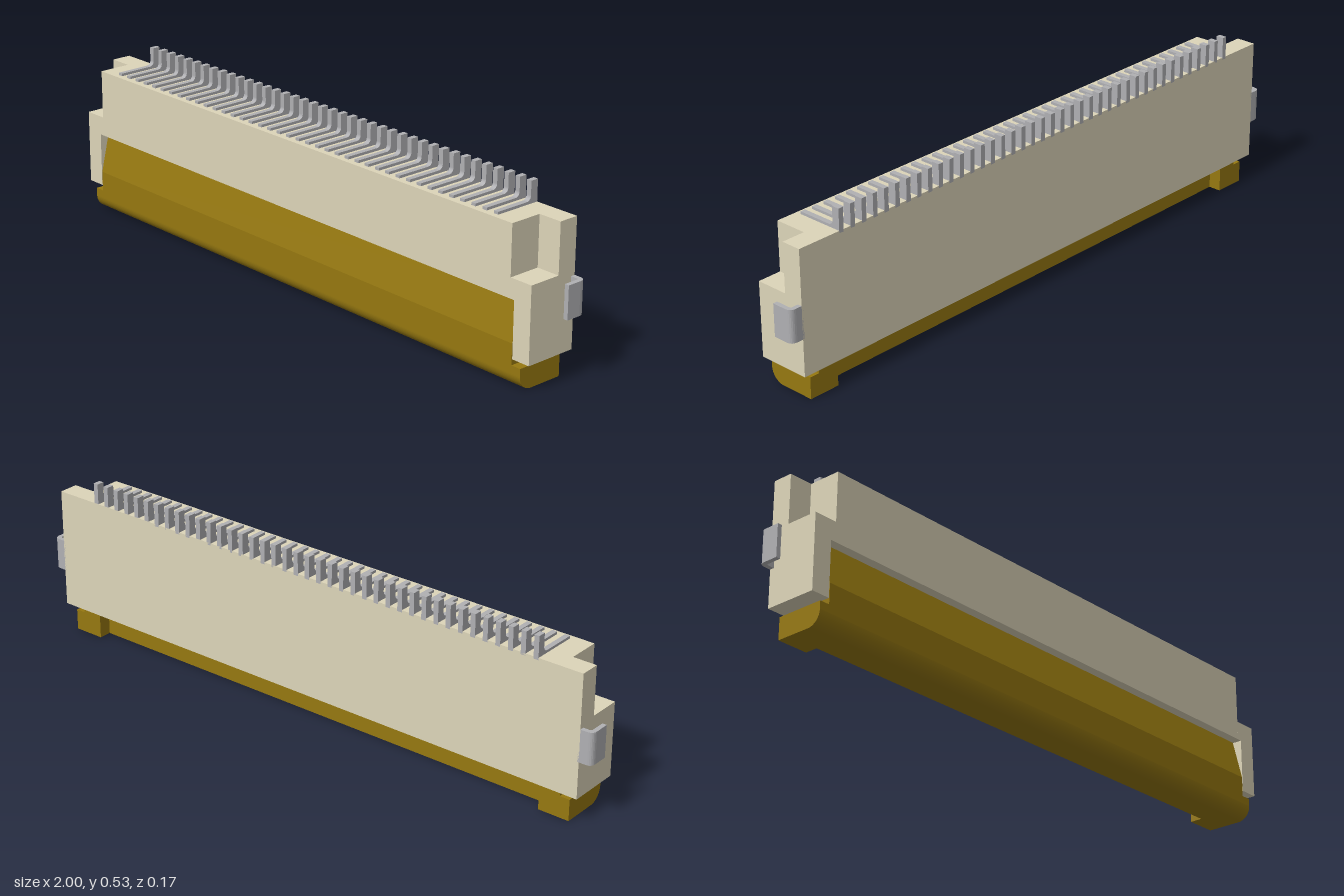
import * as THREE from 'three';

const mat = (color) => new THREE.MeshStandardMaterial({ color });

export function createModel() {
  const root = new THREE.Group();
  root.name = 'ribbonCableConnector';
  const beige = mat(0xddd5b9), gold = mat(0x967810), metal = mat(0xb0b0b3);

  const add = (parent, name, geometry, material) => {
    const m = new THREE.Mesh(geometry, material);
    m.name = name;
    parent.add(m);
    return m;
  };
  const group = (name) => {
    const g = new THREE.Group();
    g.name = name;
    root.add(g);
    return g;
  };
  const box = (x0, x1, y0, y1, z0, z1) =>
    new THREE.BoxGeometry(x1 - x0, y1 - y0, z1 - z0)
      .translate((x0 + x1) / 2, (y0 + y1) / 2, (z0 + z1) / 2);
  const poly = (pts) => new THREE.Shape(pts.map(([a, b]) => new THREE.Vector2(a, b)));

  // Side profile drawn as (z, y), swept along x between x0 and x1
  const sweepX = (shape, x0, x1) =>
    new THREE.ExtrudeGeometry(shape, { depth: x1 - x0, bevelEnabled: false, curveSegments: 10 })
      .rotateY(-Math.PI / 2).translate(x1, 0, 0);

  // Housing: top block and back wall, with stepped ends
  const housing = group('housing');
  add(housing, 'housingBody', sweepX(poly([
    [-0.083, 0.085], [-0.03, 0.085], [-0.03, 0.255],
    [0.083, 0.255], [0.083, 0.467], [-0.083, 0.467],
  ]), -0.885, 0.885), beige);
  const mirrored = (s, x0, x1, ...rest) => box(Math.min(s * x0, s * x1), Math.max(s * x0, s * x1), ...rest);
  for (const s of [-1, 1]) {
    add(housing, 'endBack', mirrored(s, 0.885, 0.96, 0.085, 0.467, -0.083, -0.02), beige);
    add(housing, 'endCheek', mirrored(s, 0.9, 0.96, 0.085, 0.315, -0.02, 0.083), beige);
    add(housing, 'endBridge', mirrored(s, 0.885, 0.9, 0.255, 0.315, -0.02, 0.083), beige);
  }

  // Locking bar: rounded lower front edge, sloping upper face
  const lock = group('lockingBar');
  const roundedFoot = (zBack) => {
    const p = new THREE.Shape();
    p.moveTo(zBack, 0);
    p.lineTo(0.04, 0);
    p.absarc(0.04, 0.043, 0.043, -Math.PI / 2, 0, false);
    return p;
  };
  const bar = roundedFoot(-0.03);
  bar.lineTo(0.083, 0.13);
  bar.lineTo(0.053, 0.255);
  bar.lineTo(-0.03, 0.255);
  bar.closePath();
  add(lock, 'bar', sweepX(bar, -0.898, 0.898), gold);
  const ear = roundedFoot(-0.07);
  ear.lineTo(0.083, 0.067);
  ear.lineTo(-0.07, 0.067);
  ear.closePath();
  for (const s of [-1, 1]) {
    add(lock, 'ear', sweepX(ear, s * 0.88 - 0.05, s * 0.88 + 0.05), gold);
    add(lock, 'earPost', mirrored(s, 0.83, 0.898, 0.06, 0.085, -0.07, -0.025), gold);
  }

  // Contacts: flat strip along the top, filleted into an upright tail
  const pin = new THREE.Shape();
  pin.moveTo(-0.083, 0.46);
  pin.lineTo(0.066, 0.46);
  pin.lineTo(0.066, 0.475);
  pin.lineTo(-0.043, 0.475);
  pin.absarc(-0.043, 0.49, 0.015, -Math.PI / 2, -Math.PI, true);
  pin.lineTo(-0.058, 0.532);
  pin.lineTo(-0.083, 0.532);
  pin.closePath();
  const pinGeometry = sweepX(pin, -0.008, 0.008);
  const contacts = group('contacts');
  const count = 40, pitch = 0.0415;
  for (let i = 0; i < count; i++) {
    add(contacts, 'contact', pinGeometry, metal).position.x = (i - (count - 1) / 2) * pitch;
  }

  // Side solder tabs: bent strips, drawn in plan as (x, -z)
  const tabs = group('solderTabs');
  for (const s of [-1, 1]) {
    const t = new THREE.Shape();
    t.moveTo(s * 0.955, 0.083);
    t.lineTo(s * 0.98, 0.083);
    t.quadraticCurveTo(s, 0.083, s, 0.063);
    t.lineTo(s, 0.017);
    t.lineTo(s * 0.986, 0.017);
    t.lineTo(s * 0.986, 0.063);
    t.quadraticCurveTo(s * 0.986, 0.069, s * 0.98, 0.069);
    t.lineTo(s * 0.955, 0.069);
    t.closePath();
    add(tabs, 'solderTab', new THREE.ExtrudeGeometry(t, { depth: 0.1, bevelEnabled: false, curveSegments: 6 })
      .rotateX(-Math.PI / 2).translate(0, 0.2, 0), metal);
  }
  return root;
}
